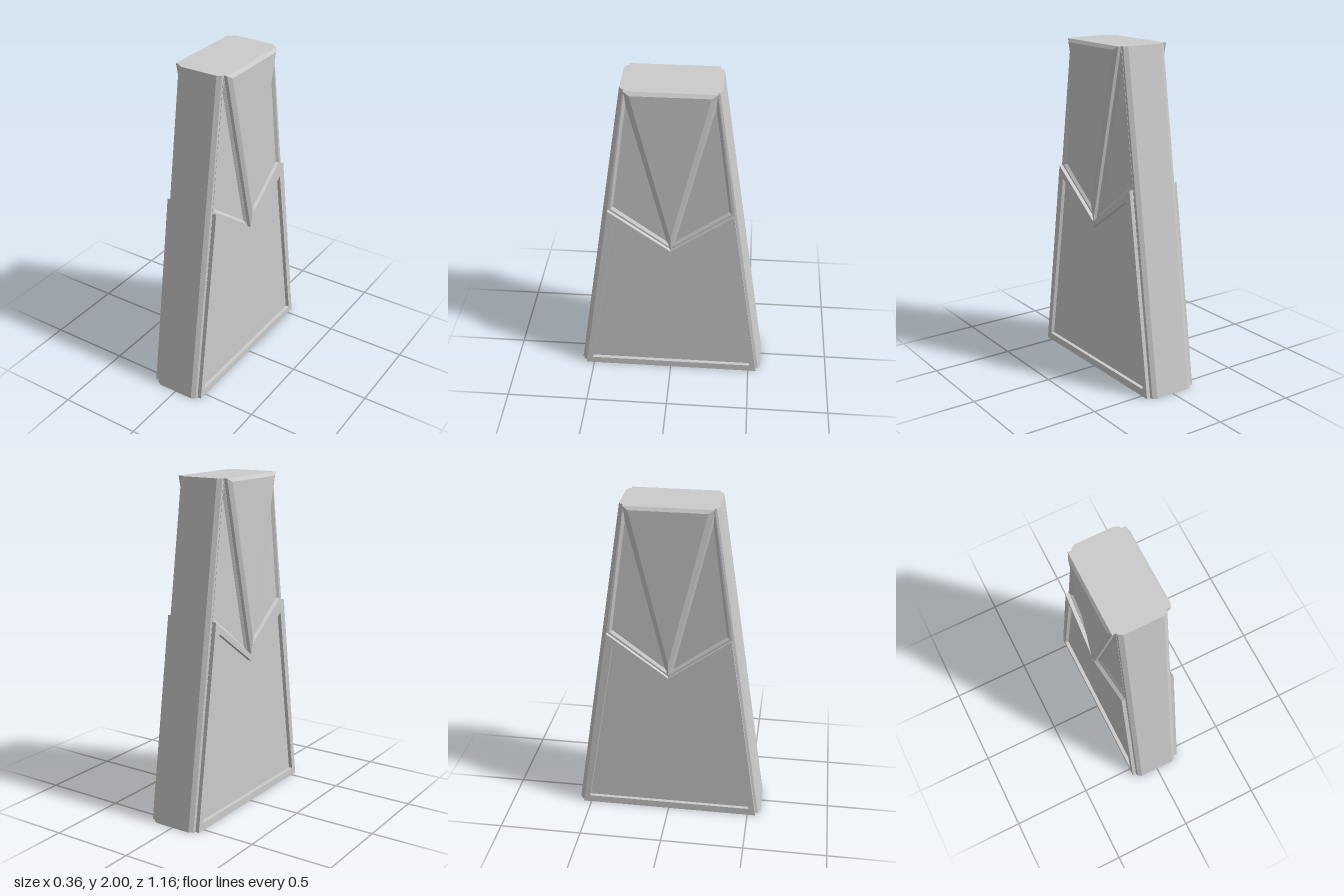
import * as THREE from 'three';

const material = new THREE.MeshStandardMaterial({ color: 0xcccccc, flatShading: true, side: THREE.DoubleSide });
const toVec = (pts) => pts.map(([u, v]) => new THREE.Vector2(u, v));
const mirrorLoop = (pts) => pts.map(([u, v]) => [-u, v]).reverse();

function part(name, geometry) {
  const mesh = new THREE.Mesh(geometry, material);
  mesh.name = name;
  return mesh;
}

// Side-profile plate with cut-outs, extruded along x between two positions
function plate(outline, holes, x0, x1) {
  const shape = new THREE.Shape(toVec(outline));
  holes.forEach((h) => shape.holes.push(new THREE.Path(toVec(h))));
  const g = new THREE.ExtrudeGeometry(shape, { depth: x1 - x0, bevelEnabled: false });
  return g.translate(0, 0, x0).rotateY(Math.PI / 2);
}

// Joins counter-clockwise loops at successive x positions and caps the last one
function bevelled(rings) {
  const pos = [];
  const put = (loop, x, i) => pos.push(x, loop[i][1], -loop[i][0]);
  for (let r = 0; r < rings.length - 1; r++) {
    const [a, xa] = rings[r], [b, xb] = rings[r + 1];
    for (let i = 0; i < a.length; i++) {
      const j = (i + 1) % a.length;
      put(a, xa, i); put(a, xa, j); put(b, xb, j);
      put(a, xa, i); put(b, xb, j); put(b, xb, i);
    }
  }
  const [cap, x] = rings[rings.length - 1];
  THREE.ShapeUtils.triangulateShape(toVec(cap), []).flat().forEach((i) => put(cap, x, i));
  const g = new THREE.BufferGeometry();
  g.setAttribute('position', new THREE.Float32BufferAttribute(pos, 3));
  g.computeVertexNormals();
  return g;
}

// Tapered core: chamfered plan section whose ends draw in towards the top
function coreGeometry() {
  const quarter = [[0.128, 0.55], [0.145, 0.55], [0.14, 0.565], [0.115, 0.58]];
  const half = [...quarter, ...mirrorLoop(quarter)];
  const section = [...half, ...half.map(([x, z]) => [-x, -z])];
  const g = new THREE.ExtrudeGeometry(new THREE.Shape(toVec(section)), { depth: 2, bevelEnabled: false });
  g.rotateX(-Math.PI / 2);
  const p = g.attributes.position;
  for (let i = 0; i < p.count; i++) {
    p.setZ(i, p.getZ(i) - Math.sign(p.getZ(i)) * 0.15 * p.getY(i));
  }
  g.computeVertexNormals();
  return g;
}

function createSide() {
  const side = new THREE.Group();

  // Flat side skin with two sunken triangles
  const niche = [[0.004, 0.955], [0.355, 1.215], [0.253, 1.985]];
  const nicheFloor = [[0.025, 0.987], [0.339, 1.222], [0.247, 1.9]];
  const skin = [[-0.55, 0], [0.55, 0], [0.255, 2], [-0.255, 2]];
  side.add(part('sideSkin', plate(skin, [niche, mirrorLoop(niche)], 0.125, 0.145)));
  side.add(part('nicheFront', bevelled([[niche, 0.145], [nicheFloor, 0.131]])));
  side.add(part('nicheBack', bevelled([[mirrorLoop(niche), 0.145], [mirrorLoop(nicheFloor), 0.131]])));

  // Lower frame with a notched top and an open centre
  const frame = [[-0.55, 0], [0.55, 0], [0.369, 1.21], [0, 0.94], [-0.369, 1.21]];
  const opening = [[-0.507, 0.045], [0.507, 0.045], [0.332, 1.135], [0, 0.902], [-0.332, 1.135]];
  side.add(part('lowerFrame', plate(frame, [opening], 0.135, 0.168)));

  // Raised wedge pointing down, bevelled on all edges
  const wedge = [[0, 0.94], [0.255, 2], [-0.255, 2]];
  const wedgeFace = [[0, 1.04], [0.222, 1.98], [-0.222, 1.98]];
  side.add(part('upperWedge', bevelled([[wedge, 0.126], [wedge, 0.166], [wedgeFace, 0.18]])));
  return side;
}

export function createModel() {
  const model = new THREE.Group();
  model.name = 'taperedPylon';
  model.add(part('core', coreGeometry()));
  ['leftSide', 'rightSide'].forEach((name, i) => {
    const side = createSide();
    side.name = name;
    side.rotation.y = i * Math.PI;
    model.add(side);
  });
  return model;
}
